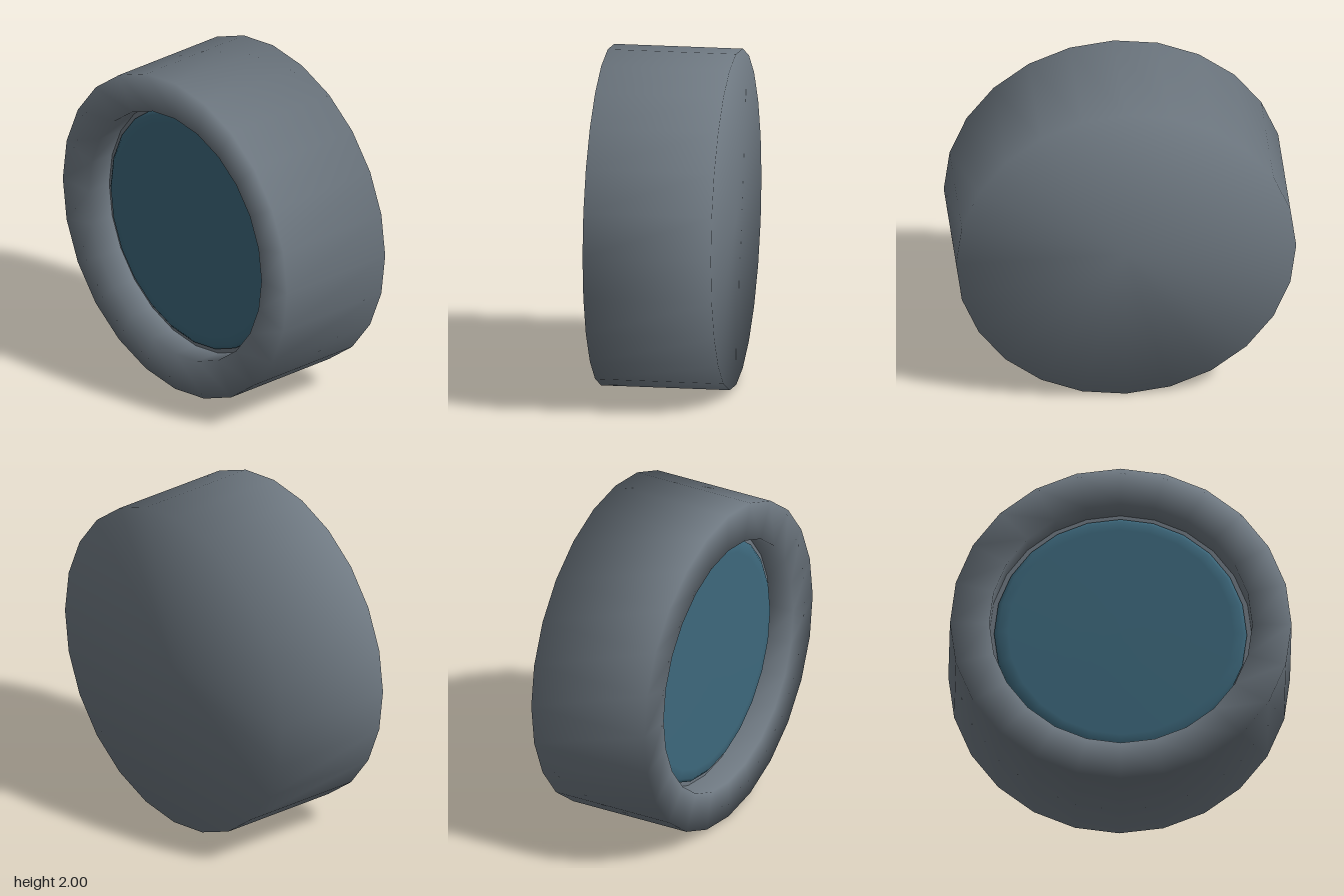
import * as THREE from 'three';

const SIDES = 24;

// Smooth lathe turned so that its axis runs along z; points are [radius, z].
function turned(points) {
  const profile = points.map(([r, z]) => new THREE.Vector2(r, z));
  return new THREE.LatheGeometry(profile, SIDES).rotateX(Math.PI / 2);
}

export function createModel() {
  const grey = new THREE.MeshStandardMaterial({ color: 0x6f7982 });
  grey.name = 'slateGrey';
  const teal = new THREE.MeshStandardMaterial({ color: 0x3d687c });
  teal.name = 'deepTeal';

  const model = new THREE.Group();
  model.name = 'roundLamp';

  const add = (name, geometry, material) => {
    const mesh = new THREE.Mesh(geometry, material);
    mesh.name = name;
    mesh.position.y = 1;
    model.add(mesh);
    return mesh;
  };

  // Housing: closed back, outer wall, front rim and the wall of the recess
  add('housing', turned([
    [0, -0.38], [1, -0.38], [1, 0.38], [0.77, 0.38], [0.77, 0.22],
  ]), grey);

  // Flat floor of the recess, seen as a thin band around the lens
  const floor = add('recessFloor', new THREE.RingGeometry(0.7, 0.77, SIDES), grey);
  floor.position.z = 0.22;

  // Lens with a softly rounded edge
  add('lens', turned([
    [0.74, 0.21], [0.74, 0.235], [0.715, 0.255], [0.66, 0.26], [0, 0.262],
  ]), teal);

  return model;
}
